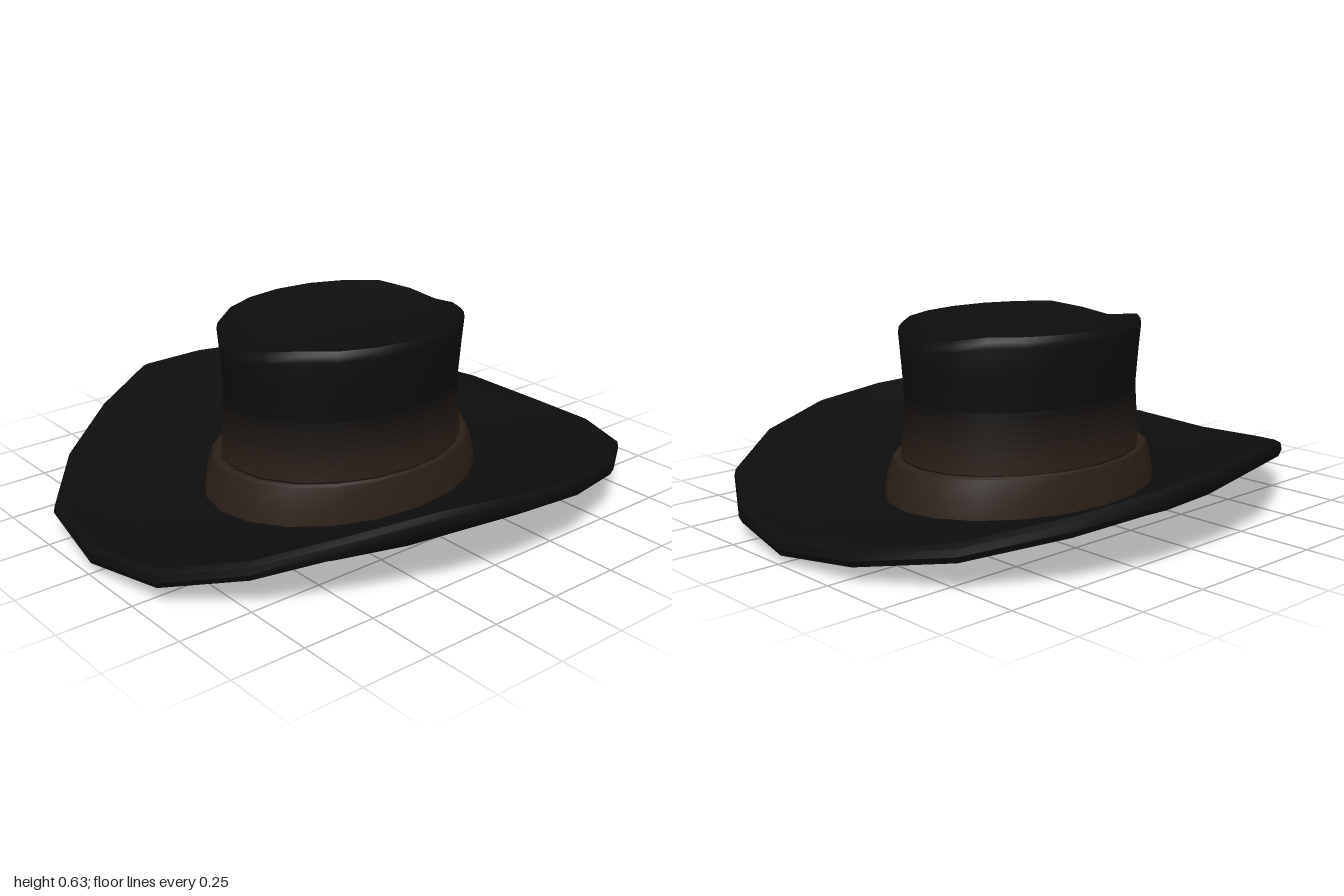
import * as THREE from 'three';
import { mergeVertices, toCreasedNormals } from 'three/addons/utils/BufferGeometryUtils.js';

const N = 20; // points per ring, starting at the front and running towards +x

const felt = new THREE.MeshStandardMaterial({ color: 0x0d0d0d, side: THREE.DoubleSide });
const leather = new THREE.MeshStandardMaterial({ color: 0x2c2018, side: THREE.DoubleSide });

// Elliptical ring; y may be a number or a rule of (x, halfIndex)
function ellipse(rx, rz, y, cz = -0.005) {
  return Array.from({ length: N }, (_, i) => {
    const a = (i / N) * Math.PI * 2, x = rx * Math.sin(a);
    const k = Math.min(i, N - i);
    return [x, typeof y === 'function' ? y(Math.abs(x), k) : y, cz + rz * Math.cos(a)];
  });
}

// Surface through a list of rings, ordered so that the outside faces out
function loft(name, rings, material, crease = 0.6) {
  const index = [];
  for (let r = 0; r < rings.length - 1; r++) {
    for (let i = 0; i < N; i++) {
      const j = (i + 1) % N, a = r * N + i, b = r * N + j, c = a + N, d = b + N;
      index.push(a, b, d, a, d, c);
    }
  }
  let geo = new THREE.BufferGeometry();
  geo.setAttribute('position', new THREE.Float32BufferAttribute(rings.flat(2), 3));
  geo.setIndex(index);
  geo = toCreasedNormals(mergeVertices(geo), crease);
  const mesh = new THREE.Mesh(geo, material);
  mesh.name = name;
  return mesh;
}

// Half outline of the brim from front to back: x, z, height of its upper edge
const outline = [
  [0, 1, 0.09], [0.3, 0.95, 0.115], [0.52, 0.77, 0.17], [0.69, 0.53, 0.24],
  [0.82, 0.28, 0.29], [0.86, 0.02, 0.275], [0.85, -0.26, 0.25], [0.76, -0.53, 0.21],
  [0.57, -0.79, 0.15], [0.29, -0.95, 0.105], [0, -1, 0.08],
];

function brimEdge(scale, drop) {
  return Array.from({ length: N }, (_, i) => {
    const [x, z, y] = outline[Math.min(i, N - i)];
    return [(i > N / 2 ? -x : x) * scale, y - drop, z * scale];
  });
}

export function createModel() {
  const hat = new THREE.Group();
  hat.name = 'hat';

  // Brim: underside, rolled edge, upper side
  hat.add(loft('brim', [
    ellipse(0.36, 0.45, 0.02),
    ellipse(0.39, 0.51, 0.02),
    ellipse(0.65, 0.79, (x) => 0.155 * x, 0),
    brimEdge(0.99, 0.055),
    brimEdge(1, 0.035),
    brimEdge(0.995, 0.012),
    brimEdge(0.97, 0),
    ellipse(0.65, 0.79, (x) => 0.045 + 0.155 * x, 0),
    ellipse(0.39, 0.51, 0.06),
    ellipse(0.36, 0.45, 0.06),
  ], felt));

  // Hat band
  hat.add(loft('hatBand', [
    ellipse(0.392, 0.515, 0.05),
    ellipse(0.385, 0.505, 0.12),
    ellipse(0.375, 0.478, 0.185),
    ellipse(0.367, 0.465, 0.192),
    ellipse(0.35, 0.44, 0.185),
  ], leather));

  // Crown wall: the leather tone fades into the felt in narrow stripes
  const wall = (y) => {
    const t = Math.min(1, Math.max(0, (y - 0.1) / 0.29));
    return ellipse(0.358 - 0.013 * t, 0.452 - 0.022 * t, y);
  };
  hat.add(loft('crownBase', [wall(0.02), wall(0.19)], felt));
  const stripes = 8;
  for (let s = 0; s < stripes; s++) {
    const y0 = 0.19 + (s / stripes) * 0.2, y1 = 0.19 + ((s + 1) / stripes) * 0.2;
    const material = felt.clone();
    material.color.copy(leather.color).lerp(felt.color, (s + 0.5) / stripes);
    hat.add(loft('crownFade', [wall(y0), wall(y1)], material));
  }

  // Crown top: raised sides, dipped front and back, creased lengthwise
  const dip = (k) => ({ 0: 0.035, 1: 0.018 })[Math.min(k, N / 2 - k)] ?? 0;
  hat.add(loft('crown', [
    wall(0.39),
    ellipse(0.356, 0.436, 0.5),
    ellipse(0.368, 0.442, (x, k) => 0.597 - dip(k)),
    ellipse(0.366, 0.438, (x, k) => 0.615 - dip(k)),
    ellipse(0.355, 0.425, (x, k) => 0.63 - dip(k)),
    ellipse(0.27, 0.33, (x) => 0.575 + 0.12 * x),
    ellipse(0.14, 0.18, (x) => 0.57 + 0.12 * x),
    ellipse(0.001, 0.001, 0.57),
  ], felt, 0.9));

  return hat;
}
